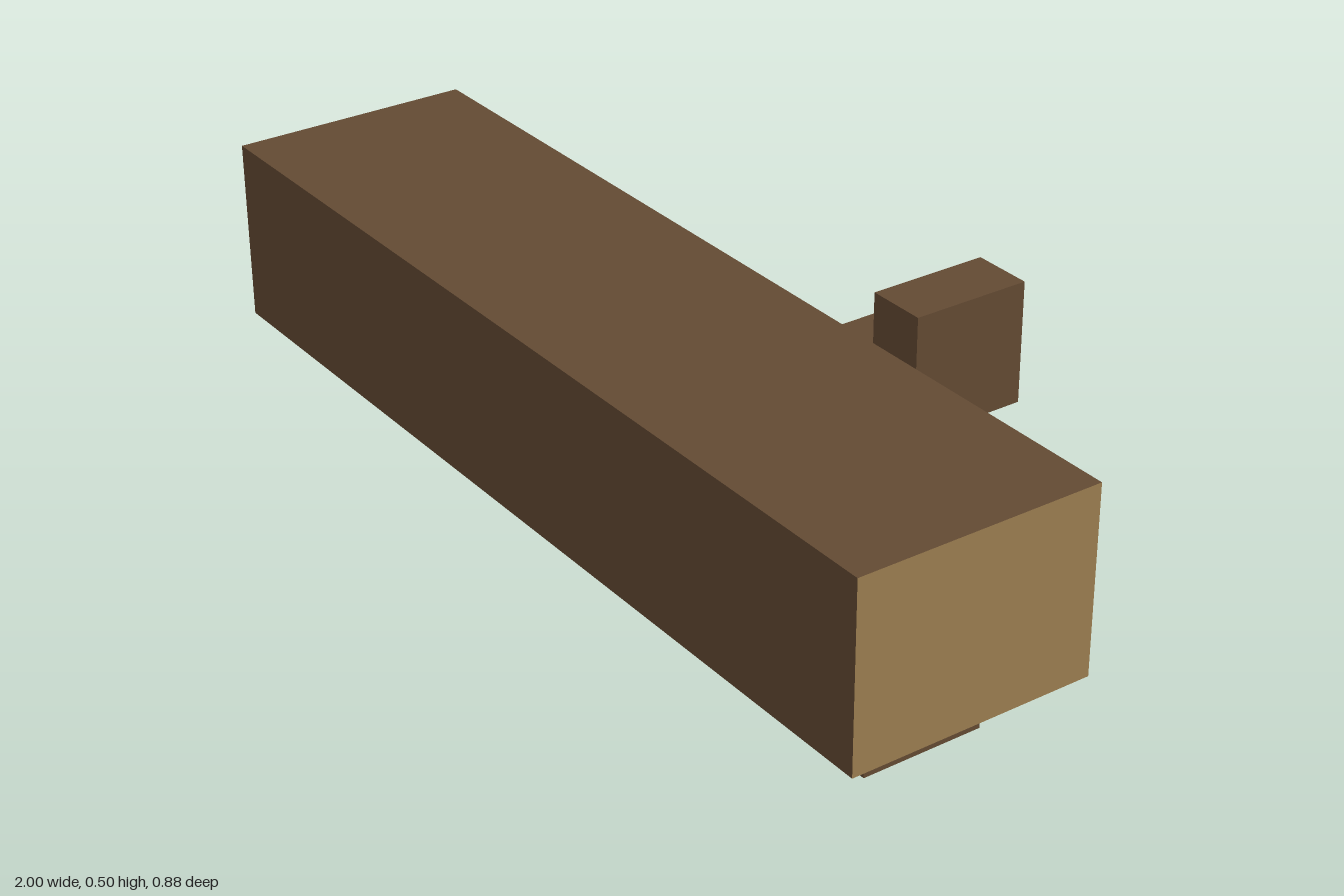
import * as THREE from 'three';

export function createModel() {
  const model = new THREE.Group();
  model.name = 'log';

  const bark = new THREE.MeshStandardMaterial({ color: 0x634a33 });
  bark.name = 'bark brown';
  const cutWood = new THREE.MeshStandardMaterial({ color: 0x9c7e50 });
  cutWood.name = 'cut wood tan';

  // Box spanning two opposite corners
  function addBox(name, min, max, material, parent = model) {
    const size = max.map((v, i) => v - min[i]);
    const mesh = new THREE.Mesh(new THREE.BoxGeometry(...size), material);
    mesh.position.set(...max.map((v, i) => (v + min[i]) / 2));
    mesh.name = name;
    parent.add(mesh);
  }

  // Trunk: pale cut wood on both end faces (+x, -x), bark elsewhere
  addBox('trunk', [-1, 0.125, -0.0625], [1, 0.5, 0.4375],
    [cutWood, cutWood, bark, bark, bark, bark]);

  // Narrow underside strip the log rests on
  addBox('base', [-0.875, 0, 0.0625], [0.875, 0.125, 0.3125], bark);

  // Stubby branch at the back with an upturned tip
  const branch = new THREE.Group();
  branch.name = 'branch';
  model.add(branch);
  addBox('branchStub', [0.125, 0.25, -0.3125], [0.375, 0.375, -0.0625], bark, branch);
  addBox('branchTip', [0.25, 0.25, -0.4375], [0.375, 0.5, -0.1875], bark, branch);

  return model;
}
